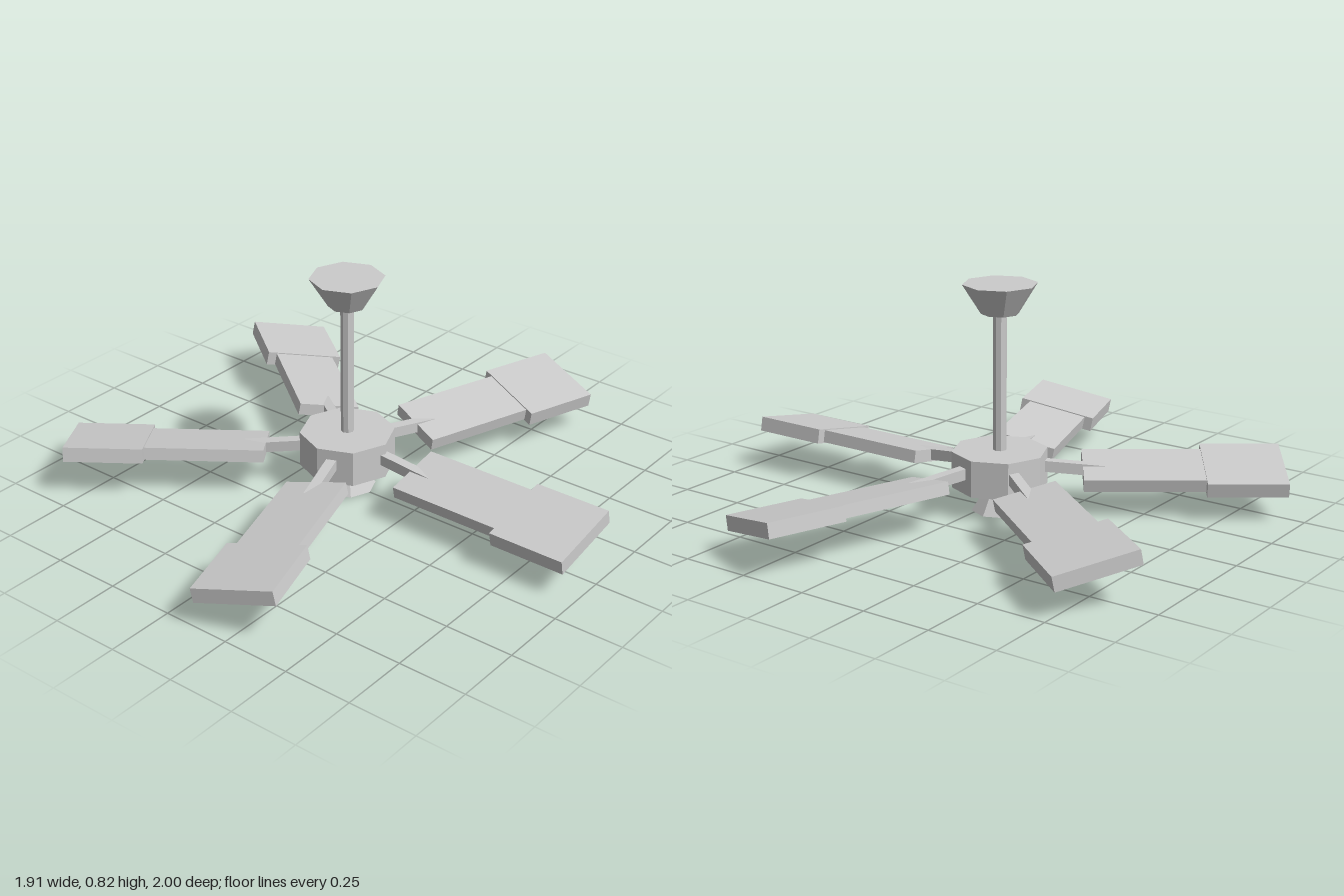
import * as THREE from 'three';

const material = new THREE.MeshStandardMaterial({ color: 0xcccccc, flatShading: true });
const openMaterial = new THREE.MeshStandardMaterial({ color: 0xcccccc, flatShading: true, side: THREE.DoubleSide });

// Eight-sided drum or cone standing between two heights
function octagon(name, rTop, rBottom, yBottom, yTop, open = false) {
  const geometry = new THREE.CylinderGeometry(rTop, rBottom, yTop - yBottom, 8, 1, open);
  const mesh = new THREE.Mesh(geometry, open ? openMaterial : material);
  mesh.name = name;
  mesh.position.y = (yTop + yBottom) / 2;
  return mesh;
}

// Box running along x from x0 to x1
function slab(name, x0, x1, thickness, width) {
  const mesh = new THREE.Mesh(new THREE.BoxGeometry(x1 - x0, thickness, width), material);
  mesh.name = name;
  mesh.position.x = (x0 + x1) / 2;
  return mesh;
}

function createBlade() {
  const blade = new THREE.Group();
  blade.name = 'bladeAssembly';

  // Pitched paddle: narrow inner board and wider, thicker tip
  const paddle = new THREE.Group();
  paddle.name = 'blade';
  paddle.position.y = 0.145;
  paddle.rotation.x = 0.197;
  paddle.add(slab('bladeBoard', 0.293, 0.73, 0.045, 0.227));
  paddle.add(slab('bladeTip', 0.72, 1.004, 0.053, 0.292));
  blade.add(paddle);

  // Bracket sloping gently from the hub into the board
  const arm = slab('bladeArm', 0.13, 0.37, 0.04, 0.037);
  arm.position.y = 0.156;
  arm.rotation.z = -0.09;
  blade.add(arm);
  return blade;
}

export function createModel() {
  const fan = new THREE.Group();
  fan.name = 'ceilingFan';

  const body = new THREE.Group();
  body.name = 'fanBody';
  body.position.x = -0.053;
  fan.add(body);

  body.add(octagon('canopy', 0.133, 0.067, 0.715, 0.82));
  body.add(octagon('downrod', 0.024, 0.024, 0.2, 0.73));
  body.add(octagon('motorHub', 0.172, 0.172, 0.09, 0.222));
  body.add(octagon('lampShade', 0.043, 0.102, 0, 0.09, true));

  // Five blades around the hub
  for (const degrees of [0, 71, 142.5, 215.5, 287.5]) {
    const blade = createBlade();
    blade.rotation.y = THREE.MathUtils.degToRad(degrees);
    body.add(blade);
  }
  return fan;
}
